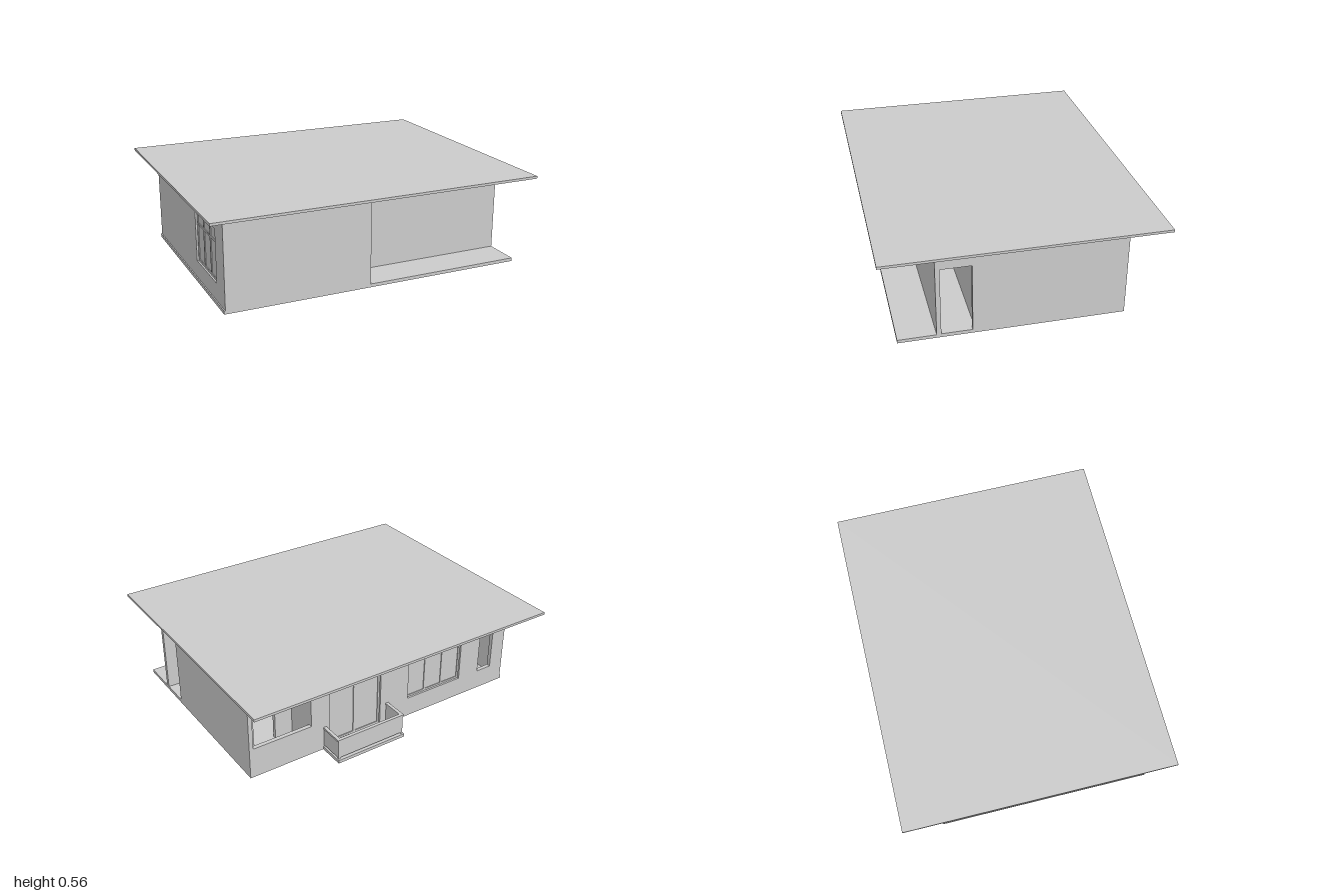
import * as THREE from 'three';

const grey = new THREE.MeshStandardMaterial({ color: 0xcccccc, flatShading: true });
const T = 0.025;          // wall thickness
const Y0 = 0.02, Y1 = 0.54; // floor top and ceiling

export function createModel() {
  const house = new THREE.Group();
  house.name = 'house';

  function add(name, geometry, parent = house) {
    const mesh = new THREE.Mesh(geometry, grey);
    mesh.name = name;
    parent.add(mesh);
    return mesh;
  }

  // box given by its two extreme corners
  function block(name, x0, x1, y0, y1, z0, z1, parent) {
    const mesh = add(name, new THREE.BoxGeometry(x1 - x0, y1 - y0, z1 - z0), parent);
    mesh.position.set((x0 + x1) / 2, (y0 + y1) / 2, (z0 + z1) / 2);
    return mesh;
  }

  // upright panel with rectangular holes [a0, a1, y0, y1]
  function panel(a0, a1, y0, y1, holes, depth) {
    const rect = (Type, l, r, b, t) => {
      const p = new Type();
      p.moveTo(l, b);
      p.lineTo(r, b);
      p.lineTo(r, t);
      p.lineTo(l, t);
      p.closePath();
      return p;
    };
    const shape = rect(THREE.Shape, a0, a1, y0, y1);
    shape.holes = holes.map(h => rect(THREE.Path, ...h));
    return new THREE.ExtrudeGeometry(shape, { depth, bevelEnabled: false });
  }

  // wall along x, occupying z .. z + T
  function wallX(name, x0, x1, z, holes = [], top = Y1) {
    add(name, panel(x0, x1, Y0, top, holes, T)).position.z = z;
  }

  // wall along z, occupying x - T .. x
  function wallZ(name, z0, z1, x, holes = []) {
    const g = panel(z0, z1, Y0, Y1, holes, T).rotateY(-Math.PI / 2);
    add(name, g).position.x = x;
  }

  // window: frame with columns and a transom, plus a thin pane
  function makeWindow(name, [a0, a1, y0, y1], columns) {
    const g = new THREE.Group(), bar = 0.012, transom = 0.355;
    g.name = name;
    const step = (a1 - a0 - bar) / columns, holes = [];
    for (let i = 0; i < columns; i++) {
      const l = a0 + bar + i * step, r = l + step - bar;
      holes.push([l, r, y0 + bar, transom - bar / 2], [l, r, transom + bar / 2, y1 - bar]);
    }
    add('windowFrame', panel(a0, a1, y0, y1, holes, 0.014), g);
    block('windowPane', a0, a1, y0, y1, 0.005, 0.009, g);
    house.add(g);
    return g;
  }

  // floor slab and flat roof
  block('floorSlab', -0.912, 0.925, 0, Y0, -0.585, 0.715);
  block('roof', -1, 1, Y1, 0.555, -0.805, 0.805);

  // openings
  const balconyDoor = [0.05, 0.405, 0.022, 0.44];
  const wideWindow = [-0.552, -0.153, 0.125, 0.44];
  const narrowWindow = [-0.808, -0.703, 0.125, 0.44];
  const sideWindow = [0.218, 0.578, 0.125, 0.44];

  // outer walls
  wallX('frontWall', -0.905, -0.04, 0.715 - T);
  wallX('porchBackWall', -0.04 - T, 0.9, 0.497 - T);
  wallZ('porchSideWall', 0.497, 0.69, -0.04, [[0.58, 0.68, 0.26, 0.44]]);
  wallZ('leftSideWall', -0.585, 0.497, 0.925, [[0.295, 0.471, 0.022, 0.44]]);
  wallZ('rightSideWall', -0.56, 0.69, -0.905 + T, [sideWindow]);
  wallX('backWall', -0.905, 0.528, -0.585, [balconyDoor, wideWindow, narrowWindow]);

  // recessed loggia at the back corner
  wallX('loggiaParapet', 0.528, 0.9, -0.585, [], 0.19);
  wallZ('loggiaSideWall', -0.56, -0.37, 0.528);
  wallX('loggiaBackWall', 0.503, 0.9, -0.37, [[0.64, 0.782, 0.022, 0.44]]);

  // inner partitions around the entrance hall
  wallX('hallWall', -0.04, 0.9, 0.255);
  wallZ('middlePartition', -0.56, 0.472, -0.04);

  // windows set into the walls
  makeWindow('balconyWindow', balconyDoor, 2).position.z = -0.573;
  makeWindow('wideBackWindow', wideWindow, 3).position.z = -0.573;
  const side = makeWindow('sideWindow', sideWindow, 3);
  side.rotation.y = -Math.PI / 2;
  side.position.x = -0.881;

  // balcony with solid railing panels and a cap rail
  const balcony = new THREE.Group();
  balcony.name = 'balcony';
  house.add(balcony);
  const bx0 = -0.01, bx1 = 0.45, bz = -0.733, wall = -0.585, t = 0.012;
  block('balconySlab', bx0, bx1, 0, Y0, -0.745, wall, balcony);
  for (const [name, y0, y1, o] of [['railingPanel', 0.028, 0.14, 0], ['capRail', 0.14, 0.152, 0.004]]) {
    block(name, bx0 - o + 0.006, bx1 + o - 0.006, y0, y1, bz - o, bz + t + o, balcony);
    for (const x of [bx0 + 0.006, bx1 - 0.006 - t])
      block(name, x - o, x + t + o, y0, y1, bz + t + o, wall, balcony);
  }
  // short posts joining railing and slab
  for (const x of [bx0 + 0.006, bx1 - 0.006 - t])
    block('railingPost', x, x + t, Y0, 0.028, bz, bz + t, balcony);

  return house;
}
